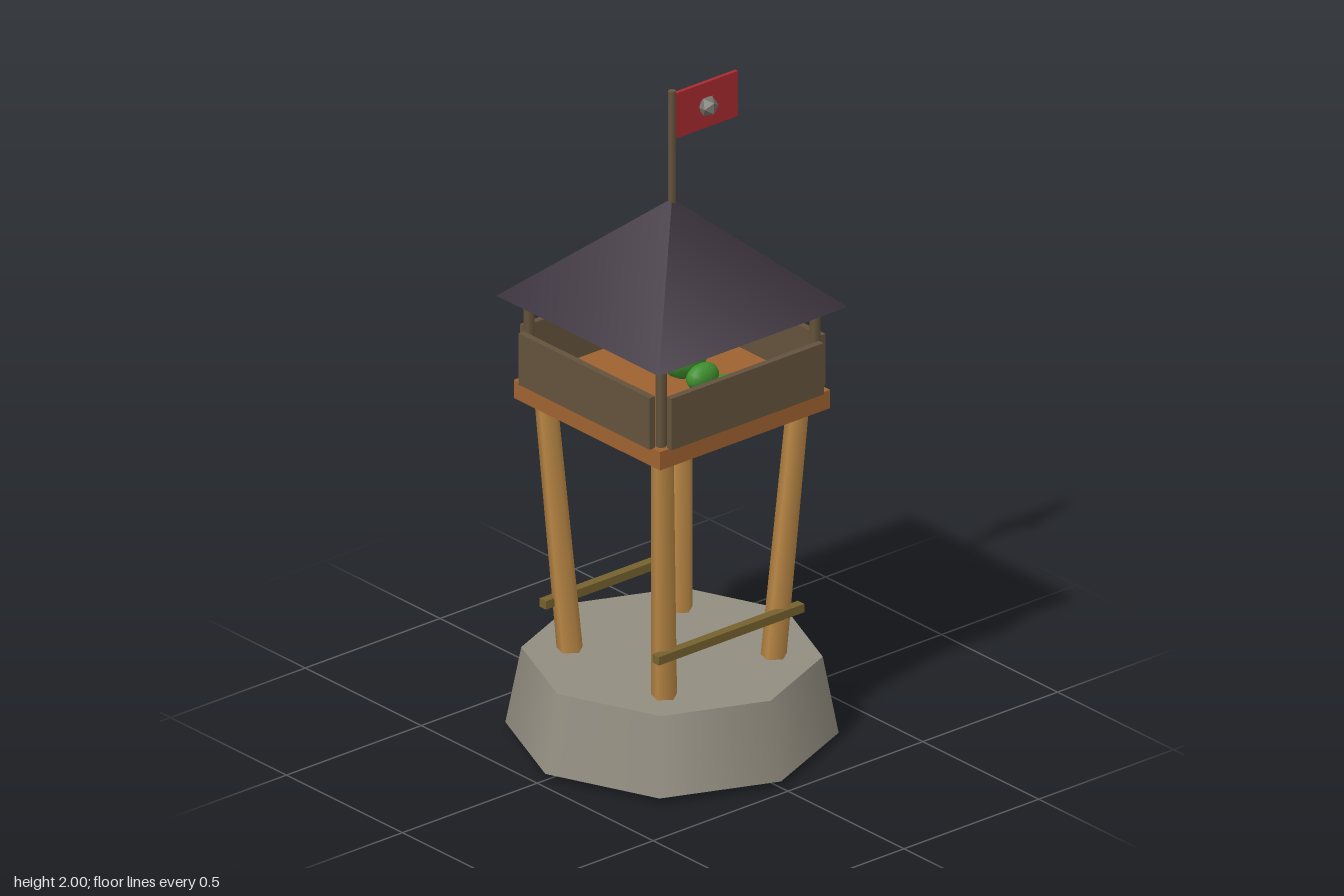
import * as THREE from 'three';

const paint = (name, color, flatShading = false) => {
  const m = new THREE.MeshStandardMaterial({ color, flatShading });
  m.name = name;
  return m;
};

export function createModel() {
  const model = new THREE.Group();
  model.name = 'watchtower';
  const stone = paint('stone', 0x938e81);
  const timber = paint('lightTimber', 0xba8745);
  const plank = paint('plank', 0x9f6231);
  const darkWood = paint('darkWood', 0x64533c);
  const slate = paint('roofPurple', 0x3b323d);
  const brace = paint('braceWood', 0x75622f);
  const red = paint('flagRed', 0xa82b30);
  const iron = paint('iron', 0x77746e, true);
  const green = paint('frogGreen', 0x3f8f2f);
  const black = paint('pupilBlack', 0x1c1c1c);

  const add = (parent, name, geometry, material, x = 0, y = 0, z = 0) => {
    const mesh = new THREE.Mesh(geometry, material);
    mesh.name = name;
    mesh.position.set(x, y, z);
    parent.add(mesh);
    return mesh;
  };
  const box = (name, mat, w, h, d, x, y, z) =>
    add(model, name, new THREE.BoxGeometry(w, h, d), mat, x, y, z);
  // Tapered rod running from point a to point b
  const rod = (parent, name, mat, a, b, ra, rb, sides) => {
    const start = new THREE.Vector3(...a), end = new THREE.Vector3(...b);
    const dir = end.clone().sub(start);
    const mesh = add(parent, name, new THREE.CylinderGeometry(rb, ra, dir.length(), sides), mat);
    mesh.position.copy(start).add(end).multiplyScalar(0.5);
    mesh.quaternion.setFromUnitVectors(new THREE.Vector3(0, 1, 0), dir.normalize());
    return mesh;
  };
  const ball = (parent, name, mat, r, x, y, z, sx = 1, sy = 1, sz = 1) => {
    const mesh = add(parent, name, new THREE.SphereGeometry(r, 12, 9), mat, x, y, z);
    mesh.scale.set(sx, sy, sz);
    return mesh;
  };

  // Stone footing
  add(model, 'stoneBase', new THREE.CylinderGeometry(0.425, 0.47, 0.235, 8), stone, 0, 0.1375, 0);

  // Splayed legs and roof posts at the four corners
  for (const sx of [-1, 1]) for (const sz of [-1, 1]) {
    rod(model, 'leg', timber, [sx * 0.188, 0.004, sz * 0.188], [sx * 0.252, 1.04, sz * 0.252], 0.04, 0.034, 5);
    add(model, 'roofPost', new THREE.CylinderGeometry(0.016, 0.016, 0.29, 6), darkWood, sx * 0.285, 1.225, sz * 0.285);
  }

  // Braces, deck and parapet walls
  for (const s of [-1, 1]) {
    box('brace', brace, 0.54, 0.026, 0.028, 0, 0.4, s * 0.243);
    box('endWall', darkWood, 0.565, 0.16, 0.02, 0, 1.165, s * 0.316);
    box('sideWall', darkWood, 0.02, 0.16, 0.565, s * 0.316, 1.165, 0);
  }
  box('deck', plank, 0.63, 0.057, 0.63, 0, 1.057, 0);

  // Pyramid roof, flagpole and flag
  const roof = new THREE.ConeGeometry(0.495, 0.32, 4);
  roof.rotateY(Math.PI / 4);
  add(model, 'roof', roof, slate, 0, 1.505, 0);
  add(model, 'flagpole', new THREE.CylinderGeometry(0.012, 0.012, 0.37, 6), darkWood, 0, 1.815, 0);
  box('flag', red, 0.23, 0.14, 0.012, 0.125, 1.92, 0);
  add(model, 'flagBoss', new THREE.IcosahedronGeometry(0.031), iron, 0.122, 1.92, 0.013);

  // Frog lookout facing the left side
  const frog = new THREE.Group();
  frog.name = 'frog';
  model.add(frog);
  ball(frog, 'frogBody', green, 0.07, 0.04, 1.175, 0, 1.05, 1.1, 1);
  ball(frog, 'frogHead', green, 0.068, 0.08, 1.29, 0, 1, 0.9, 1.02);
  for (const s of [-1, 1]) {
    ball(frog, 'frogEye', iron, 0.022, 0.132, 1.312, s * 0.048);
    ball(frog, 'frogPupil', black, 0.011, 0.148, 1.314, s * 0.053);
    ball(frog, 'frogThigh', green, 0.04, 0.04, 1.13, s * 0.085, 1.4, 1, 0.8);
    ball(frog, 'frogFoot', green, 0.03, 0.11, 1.1, s * 0.1, 1.6, 0.5, 1);
    rod(frog, 'frogUpperArm', green, [0.06, 1.22, s * 0.06], [0.155, 1.265, s * 0.05], 0.02, 0.018, 8);
    rod(frog, 'frogForearm', green, [0.155, 1.265, s * 0.05], [0.235, 1.25, s * 0.025], 0.018, 0.014, 8);
    ball(frog, 'frogHand', green, 0.02, 0.235, 1.25, s * 0.025);

    // Twin bamboo barrels with green bindings
    rod(frog, 'barrel', timber, [-0.05, 1.25, s * 0.019], [0.402, 1.25, s * 0.019], 0.0105, 0.0105, 8);
    rod(frog, 'barrelBand', green, [0.345, 1.25, s * 0.019], [0.364, 1.25, s * 0.019], 0.012, 0.012, 8);
  }

  // Quiver with shafts on the frog's back
  add(frog, 'quiver', new THREE.CylinderGeometry(0.031, 0.028, 0.14, 8), timber, -0.07, 1.237, 0);
  for (const [x, z] of [[-0.083, 0], [-0.068, 0.012], [-0.056, -0.01]])
    rod(frog, 'quiverShaft', iron, [x, 1.25, z], [x, 1.36, z], 0.003, 0.003, 5);

  return model;
}
